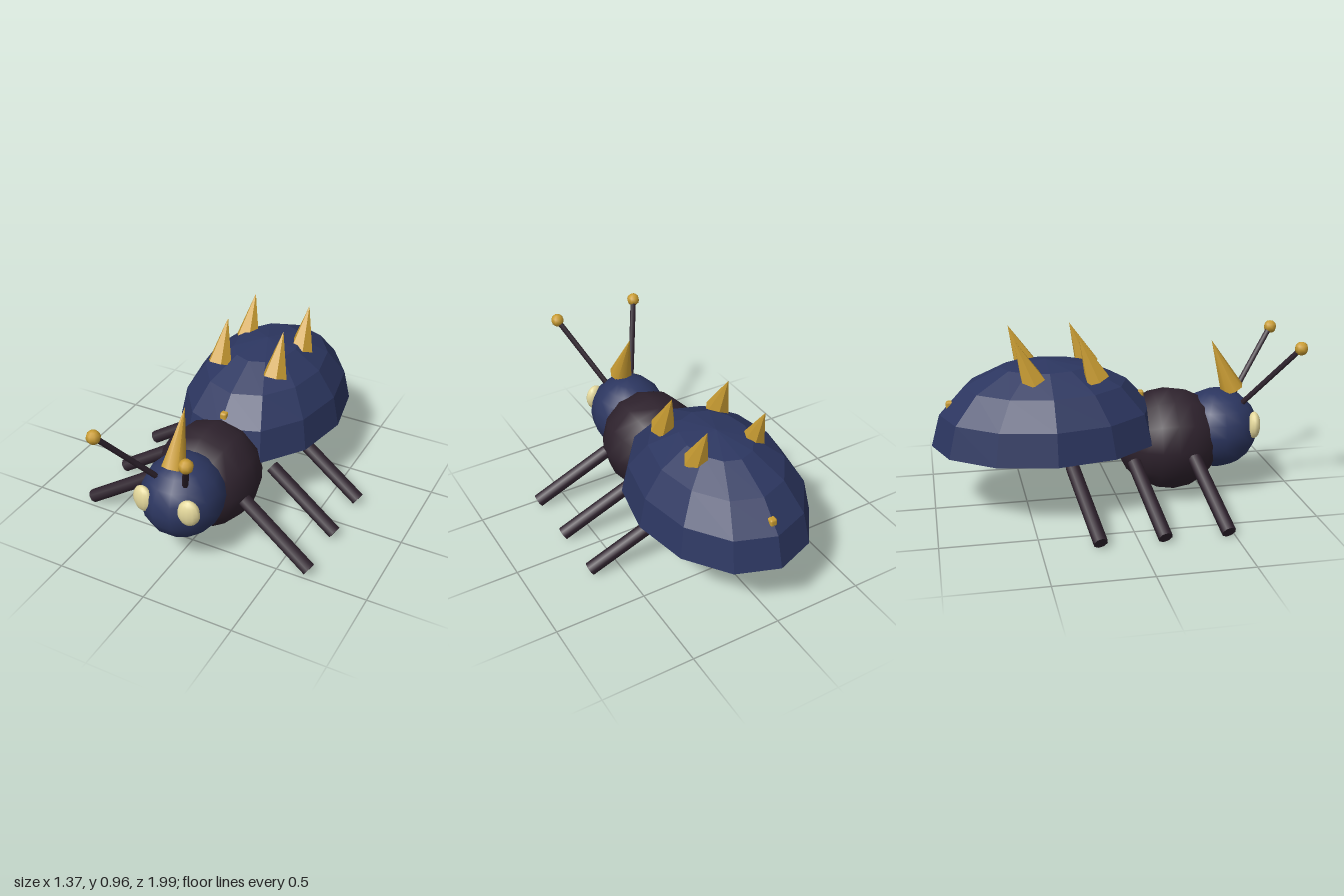
import * as THREE from 'three';
import { RoundedBoxGeometry } from 'three/addons/geometries/RoundedBoxGeometry.js';

const material = (name, color) => {
  const m = new THREE.MeshStandardMaterial({ color });
  m.name = name;
  return m;
};

// Faceted copy of a geometry
function faceted(geometry) {
  const g = geometry.toNonIndexed();
  g.computeVertexNormals();
  return g;
}

export function createModel() {
  const model = new THREE.Group();
  model.name = 'hornedBeetle';
  const navy = material('navy', 0x2c3660);
  const dark = material('darkBrown', 0x2e222d);
  const gold = material('gold', 0xc99c32);
  const cream = material('cream', 0xe4d89c);

  const add = (name, geometry, mat, x = 0, y = 0, z = 0) => {
    const mesh = new THREE.Mesh(geometry, mat);
    mesh.name = name;
    mesh.position.set(x, y, z);
    model.add(mesh);
    return mesh;
  };

  // Lay a cylinder or cone between two points
  const between = (name, from, to, r0, r1, sides, mat, flat = false, turn = 0) => {
    const a = new THREE.Vector3(...from), b = new THREE.Vector3(...to);
    const dir = b.clone().sub(a);
    let g = new THREE.CylinderGeometry(r1, r0, dir.length(), sides);
    g.rotateY(turn);
    if (flat) g = faceted(g);
    const mesh = add(name, g, mat);
    mesh.position.copy(a).add(b).multiplyScalar(0.5);
    mesh.quaternion.setFromUnitVectors(new THREE.Vector3(0, 1, 0), dir.normalize());
    return mesh;
  };

  // Faceted wing case with a closed underside
  const dome = new THREE.SphereGeometry(1, 12, 4, 0, Math.PI * 2, 0, Math.PI / 2);
  dome.scale(0.45, 0.45, 0.62);
  add('shell', faceted(dome), navy, 0, 0.365, -0.38);
  const base = new THREE.CircleGeometry(1, 12);
  base.rotateX(Math.PI / 2);
  base.scale(0.45, 1, 0.62);
  add('shellUnderside', base, navy, 0, 0.365, -0.38);

  // Centre bar running through the shell
  add('centreBar', new RoundedBoxGeometry(0.04, 0.32, 1.07, 1, 0.012), gold, 0, 0.45, -0.38);

  // Thorax and head
  const thorax = new THREE.SphereGeometry(1, 12, 10);
  thorax.rotateX(Math.PI / 2);
  thorax.scale(0.28, 0.288, 0.295);
  add('thorax', thorax, dark, 0, 0.323, 0.3);
  const head = new THREE.SphereGeometry(1, 14, 10);
  head.scale(0.22, 0.222, 0.235);
  add('head', head, navy, 0, 0.367, 0.575);

  // Horn on the head
  between('headHorn', [0, 0.585, 0.66], [0, 0.87, 0.535], 0.066, 0, 8, gold);

  for (const s of [-1, 1]) {
    const side = s > 0 ? 'left' : 'right';

    // Eyes
    const eyeShape = new THREE.SphereGeometry(1, 12, 10);
    eyeShape.scale(0.06, 0.075, 0.036);
    const eye = add(side + 'Eye', eyeShape, cream, s * 0.132, 0.41, 0.752);
    eye.rotation.y = s * 0.2;

    // Antennae with round tips
    between(side + 'Antenna', [s * 0.08, 0.52, 0.69], [s * 0.25, 0.865, 0.955], 0.016, 0.016, 6, dark);
    add(side + 'AntennaTip', new THREE.SphereGeometry(0.037, 8, 6), gold, s * 0.25, 0.866, 0.957);

    // Spikes on the shell
    for (const z of [-0.13, -0.465]) {
      between(side + 'ShellSpike', [s * 0.167, 0.735, z], [s * 0.167, 0.965, z - 0.095],
        0.07, 0, 6, gold, true, Math.PI / 6);
    }

    // Legs
    for (const z of [0.385, 0.052, -0.28]) {
      between(side + 'Leg', [s * 0.25, 0.285, z], [s * 0.665, 0.034, z + 0.075],
        0.038, 0.038, 8, dark);
    }
  }
  return model;
}
